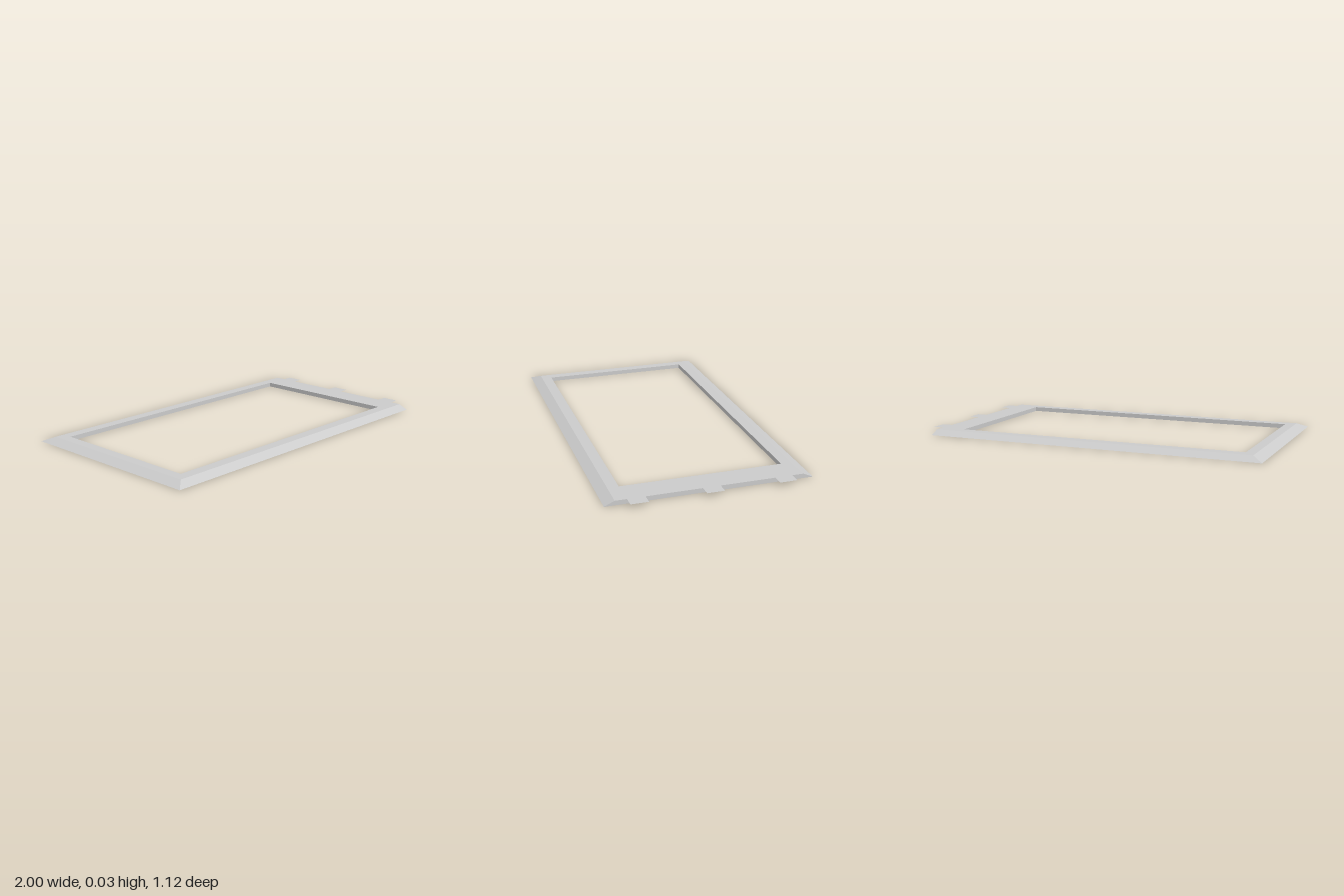
import * as THREE from 'three';

const HEIGHT = 0.025;

// Four corners of a rectangle at height y, counter-clockwise seen from above
const ring = (x0, x1, z, y) => [[x0, y, z], [x1, y, z], [x1, y, -z], [x0, y, -z]];

// Closed band of flat quads through successive rings
function loopRings(rings) {
  const positions = [];
  rings.forEach((lower, r) => {
    const upper = rings[(r + 1) % rings.length];
    for (let i = 0; i < 4; i++) {
      const j = (i + 1) % 4;
      positions.push(...lower[i], ...lower[j], ...upper[j]);
      positions.push(...lower[i], ...upper[j], ...upper[i]);
    }
  });
  const geometry = new THREE.BufferGeometry();
  geometry.setAttribute('position', new THREE.Float32BufferAttribute(positions, 3));
  geometry.computeVertexNormals();
  return geometry;
}

export function createModel() {
  const group = new THREE.Group();
  group.name = 'bezelFrame';

  // Frame: three sloped outer sides, square right end, straight inner walls
  const frame = new THREE.Mesh(
    loopRings([
      ring(-1, 0.94, 0.56, 0),
      ring(-0.94, 0.94, 0.505, HEIGHT),
      ring(-0.885, 0.795, 0.445, HEIGHT),
      ring(-0.885, 0.795, 0.445, 0),
    ]),
    new THREE.MeshStandardMaterial({ color: 0xcccccc, flatShading: true })
  );
  frame.name = 'frame';
  group.add(frame);

  // Paper-thin tabs level with the top face on the right end
  const tabMaterial = new THREE.MeshStandardMaterial({ color: 0xcccccc, side: THREE.DoubleSide });
  const tabGeometry = new THREE.PlaneGeometry(0.06, 0.095).rotateX(-Math.PI / 2);
  [-0.395, 0, 0.395].forEach((z, i) => {
    const tab = new THREE.Mesh(tabGeometry, tabMaterial);
    tab.name = `tab${i + 1}`;
    tab.position.set(0.97, HEIGHT, z);
    group.add(tab);
  });

  return group;
}
